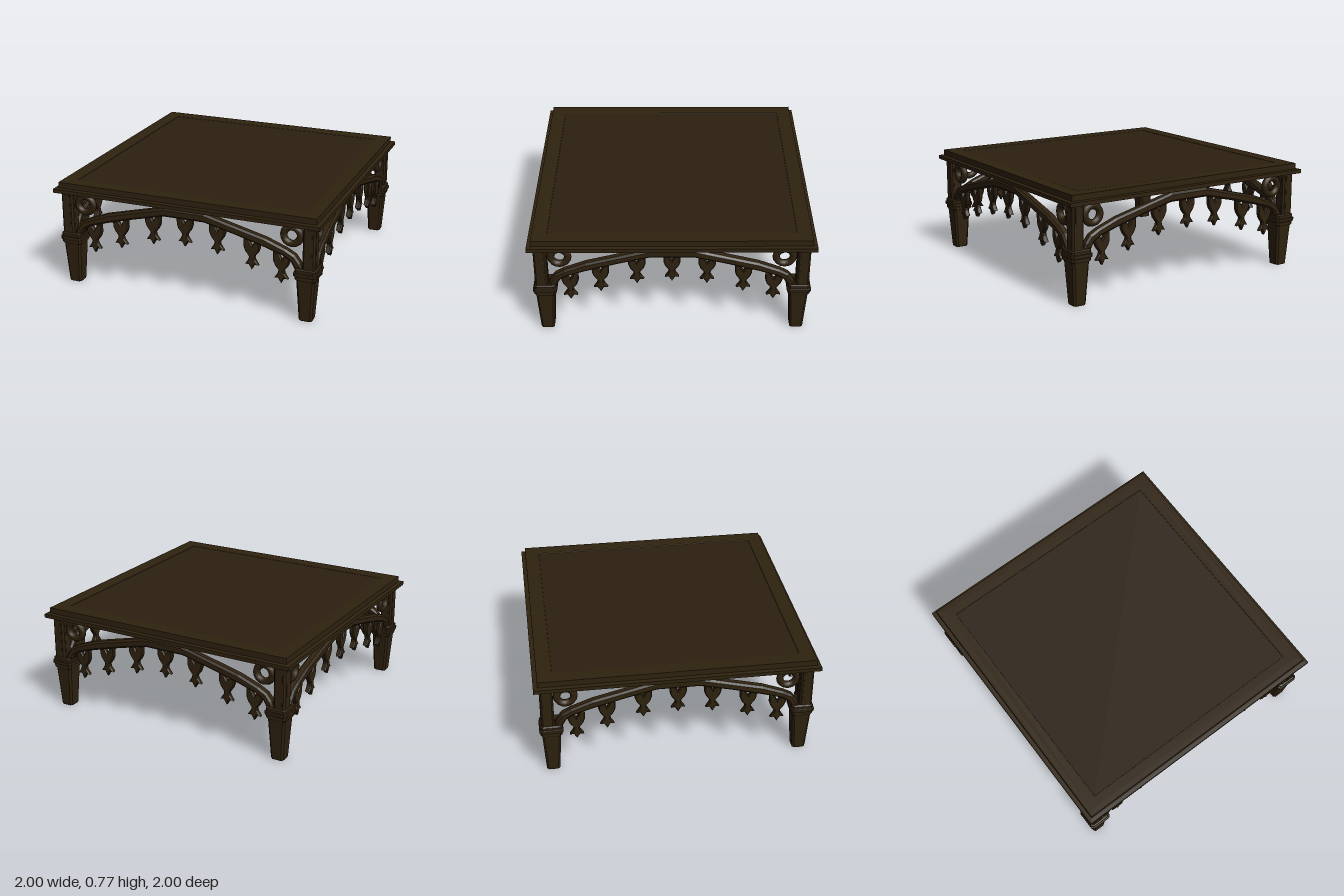
import * as THREE from 'three';

const wood = new THREE.MeshStandardMaterial({ color: 0x2f220f });
wood.name = 'dark wood';
const panelWood = new THREE.MeshStandardMaterial({ color: 0x2b1f10 });
panelWood.name = 'panel wood';
const underWood = new THREE.MeshStandardMaterial({ color: 0x46302a });
underWood.name = 'underside wood';

function flat(geometry) {
  const g = geometry.index ? geometry.toNonIndexed() : geometry;
  g.computeVertexNormals();
  return g;
}

function add(parent, name, geometry, material, x = 0, y = 0, z = 0) {
  const mesh = new THREE.Mesh(geometry, material);
  mesh.name = name;
  mesh.position.set(x, y, z);
  parent.add(mesh);
  return mesh;
}

const points = (list) => list.map(([x, y]) => new THREE.Vector2(x, y));
const mirror = (list) => list.map(([x, y]) => [-x, y]).reverse();

// Square ring or block turned from a profile of [half width, y]
function squareLathe(profile) {
  const pts = points(profile.map(([h, y]) => [h * Math.SQRT2, y]));
  return flat(new THREE.LatheGeometry(pts, 4, Math.PI / 4));
}

// Square block with chamfered corners from a profile of [half width, y]
function chamferedLathe(profile, chamfer) {
  const g = new THREE.LatheGeometry(points(profile), 8, Math.PI / 8);
  const p = g.attributes.position;
  for (let i = 0; i < p.count; i++) {
    const x = p.getX(i), z = p.getZ(i), r = Math.hypot(x, z);
    if (r < 1e-4) continue;
    const wideX = Math.abs(x) > Math.abs(z);
    p.setX(i, Math.sign(x) * (wideX ? r : r - chamfer));
    p.setZ(i, Math.sign(z) * (wideX ? r - chamfer : r));
  }
  return flat(g);
}

// Extrusion centred on z = 0 with a small bevel
function plate(shape, depth, bevel) {
  const g = new THREE.ExtrudeGeometry(shape, {
    depth: depth - 2 * bevel, bevelEnabled: true, bevelSize: bevel,
    bevelThickness: bevel, bevelOffset: -bevel, bevelSegments: 1,
  });
  return g.translate(0, 0, -depth / 2 + bevel);
}

function archGeometry() {
  const top = [[0.868, 0.385], [0.852, 0.43], [0.815, 0.48], [0.75, 0.515], [0.6, 0.572], [0.38, 0.627], [0.15, 0.685]];
  const bottom = [[0.15, 0.62], [0.38, 0.565], [0.6, 0.505], [0.735, 0.462], [0.785, 0.43], [0.81, 0.385]];
  return plate(new THREE.Shape(points([...top, ...mirror(top), ...mirror(bottom), ...bottom])), 0.065, 0.014);
}

// Hanging shield with a notch and a flared tail
function pendantGeometry() {
  const side = [[0.06, 0.02], [0.06, -0.045], [0.048, -0.078], [0.02, -0.115], [0.024, -0.135], [0.05, -0.175], [0.022, -0.172]];
  const shape = new THREE.Shape(points([...side, [0, -0.21], ...mirror(side)]));
  shape.holes.push(new THREE.Path(points([[-0.022, 0.004], [0, -0.036], [0.022, 0.004]])));
  return plate(shape, 0.036, 0.007);
}

export function createModel() {
  const model = new THREE.Group();
  model.name = 'lowTable';

  // Table top: moulded frame, inset panel and underside
  add(model, 'topFrame', squareLathe([
    [0.86, 0.702], [1, 0.702], [1, 0.73], [0.97, 0.733], [0.97, 0.775],
    [0.93, 0.775], [0.865, 0.773], [0.86, 0.765], [0.86, 0.702],
  ]), wood);
  add(model, 'topPanel', new THREE.BoxGeometry(1.73, 0.03, 1.73), panelWood, 0, 0.756, 0);
  add(model, 'undersidePanel', new THREE.BoxGeometry(1.73, 0.008, 1.73), underWood, 0, 0.705, 0);

  const legGeo = chamferedLathe([[0, 0], [0.046, 0], [0.048, 0.012], [0.066, 0.31], [0, 0.31]], 0.014);
  const collarGeo = chamferedLathe([
    [0, 0.305], [0.07, 0.305], [0.076, 0.315], [0.076, 0.335], [0.084, 0.34],
    [0.084, 0.362], [0.077, 0.366], [0.077, 0.386], [0.066, 0.394], [0, 0.394],
  ], 0.016);
  const postGeo = chamferedLathe([[0.045, 0.39], [0.045, 0.704]], 0.012);
  const ribGeo = new THREE.BoxGeometry(0.046, 0.27, 0.094);
  const archGeo = archGeometry();
  const pendantGeo = pendantGeometry();
  const wreathGeo = new THREE.TorusGeometry(0.06, 0.026, 8, 16);
  const pendants = [[0, 0.622], [0.245, 0.602], [0.5, 0.532], [0.715, 0.465]];

  // Each side carries one corner leg, an arch, two wreaths and seven pendants
  for (let i = 0; i < 4; i++) {
    const side = new THREE.Group();
    side.name = 'side' + (i + 1);
    side.rotation.y = i * Math.PI / 2;
    model.add(side);

    add(side, 'leg', legGeo, wood, 0.893, 0, 0.893);
    add(side, 'collar', collarGeo, wood, 0.893, 0, 0.893);
    add(side, 'post', postGeo, wood, 0.915, 0, 0.915);
    add(side, 'postPanel', ribGeo, wood, 0.915, 0.547, 0.915);
    add(side, 'postPanel', ribGeo, wood, 0.915, 0.547, 0.915).rotation.y = Math.PI / 2;
    add(side, 'arch', archGeo, wood, 0, 0, 0.922);

    for (const s of [-1, 1]) {
      add(side, 'wreath', wreathGeo, wood, s * 0.783, 0.614, 0.917);
      for (const [x, y] of pendants) {
        if (x > 0 || s > 0) add(side, 'pendant', pendantGeo, wood, s * x, y, 0.922);
      }
    }
  }
  return model;
}
